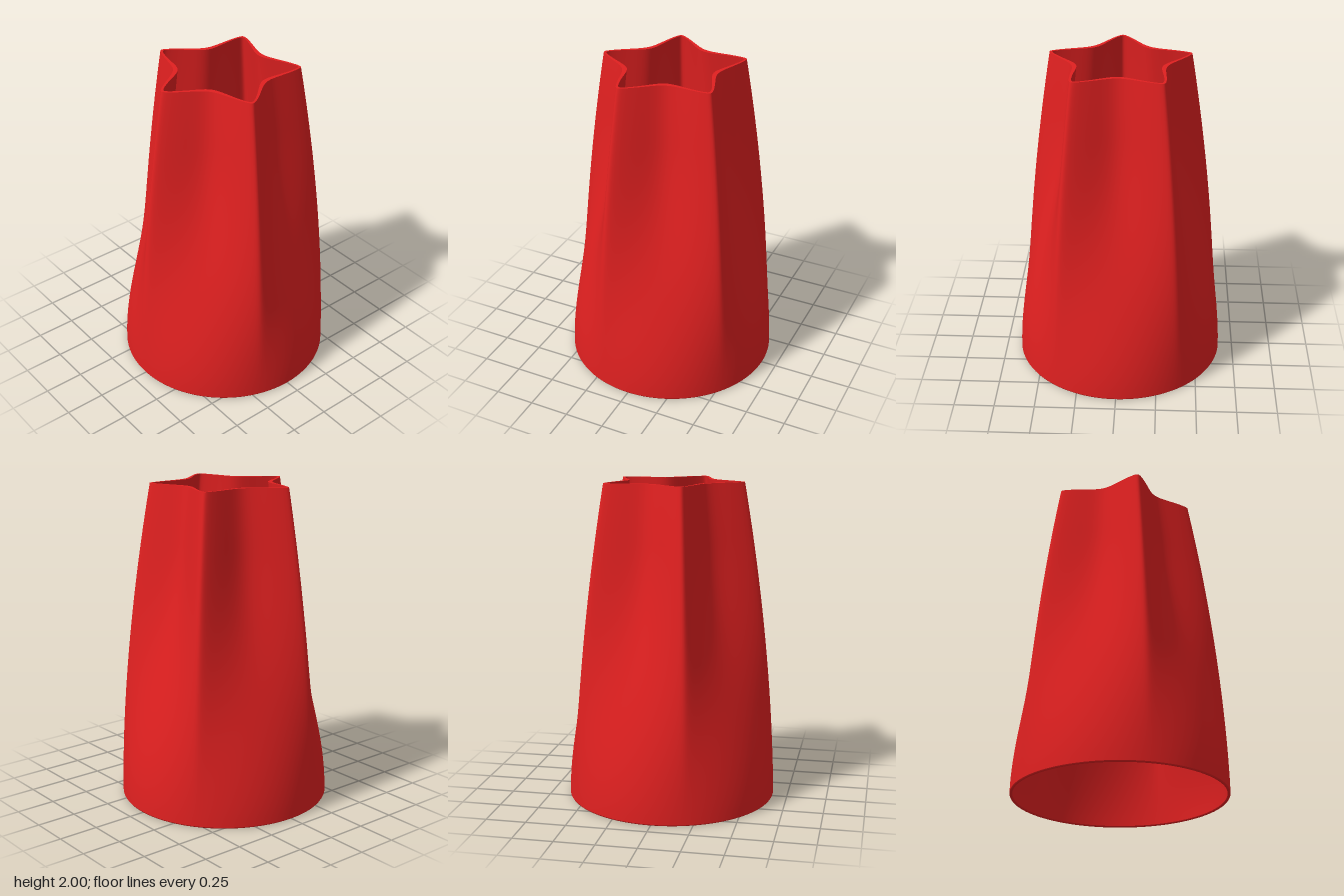
import * as THREE from 'three';

const HEIGHT = 2, COLUMNS = 360, ROWS = 40, POINTS = 5;

// 1 at each star tip, 0 in each valley; the tips are slightly rounded
function tipness(angle) {
  const step = (Math.PI * 2) / POINTS;
  const u = Math.abs(angle / step - Math.round(angle / step)) * 2;
  const e = 0.06;
  const s = (Math.hypot(u, e) - e) / (Math.hypot(1, e) - e);
  return (1 - s) ** 2;
}

// Wall radius: round at the foot, star-shaped at the top.
// depth 0 is the outer face of the wall, 1 the inner face.
function wallRadius(angle, y, depth) {
  const t = y / HEIGHT;
  const body = 0.658 - 0.205 * t ** 1.75;
  const star = THREE.MathUtils.smoothstep(t, 0, 0.82);
  const valley = 1 - tipness(angle);
  return body * (1 - 0.343 * star * valley) - depth * (0.018 + 0.01 * star * valley);
}

// Surface through a list of [y, depth] rings, closed around the axis
function ringSurface(name, rings, material) {
  const positions = [], index = [];
  rings.forEach(([y, depth], i) => {
    for (let j = 0; j < COLUMNS; j++) {
      const a = (j / COLUMNS) * Math.PI * 2;
      const r = wallRadius(a, y, depth);
      positions.push(r * Math.sin(a), y, r * Math.cos(a));
      if (i === rings.length - 1) continue;
      const k = (j + 1) % COLUMNS, low = i * COLUMNS, high = low + COLUMNS;
      index.push(low + j, low + k, high + k, low + j, high + k, high + j);
    }
  });
  const geometry = new THREE.BufferGeometry();
  geometry.setAttribute('position', new THREE.Float32BufferAttribute(positions, 3));
  geometry.setIndex(index);
  geometry.computeVertexNormals();
  const mesh = new THREE.Mesh(geometry, material);
  mesh.name = name;
  return mesh;
}

export function createModel() {
  const group = new THREE.Group();
  group.name = 'starNozzle';
  const red = new THREE.MeshStandardMaterial({ color: 0xe02020 });

  const lip = 0.008;
  const heights = Array.from({ length: ROWS + 1 }, (_, i) => lip + ((HEIGHT - lip) * i) / ROWS);

  group.add(
    ringSurface('outerWall', heights.map((y) => [y, 0]), red),
    ringSurface('topRim', [[HEIGHT, 0], [HEIGHT, 1]], red),
    ringSurface('innerWall', heights.map((y) => [y, 1]).reverse(), red),
    // small rounded foot joining the two walls
    ringSurface('bottomLip', [[lip, 1], [0.002, 0.8], [0, 0.5], [0.002, 0.2], [lip, 0]], red),
  );
  return group;
}
